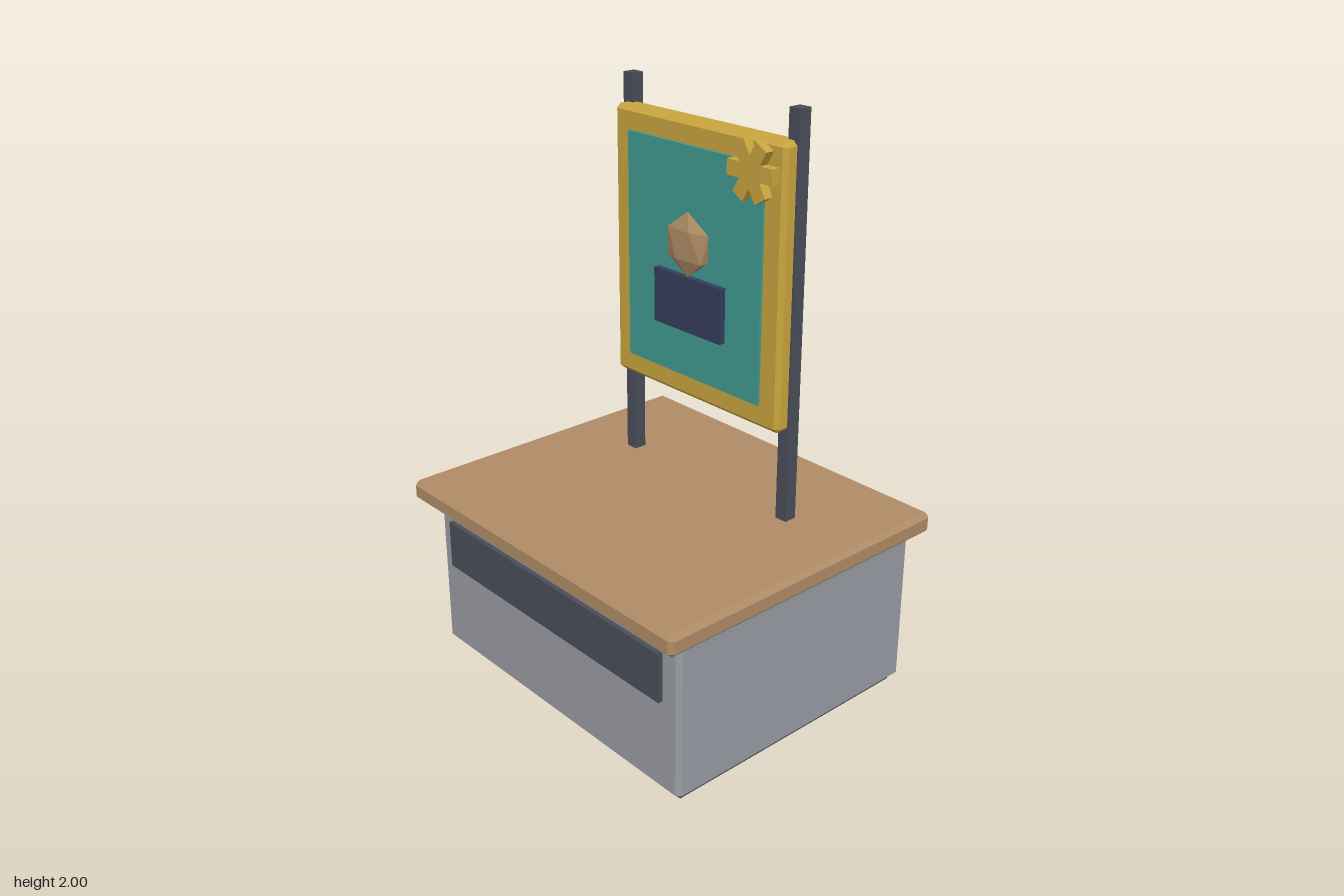
import * as THREE from 'three';
import { ConvexGeometry } from 'three/addons/geometries/ConvexGeometry.js';

function material(name, color) {
  const m = new THREE.MeshStandardMaterial({ color });
  m.name = name;
  return m;
}

// Box given by its min and max on each axis, with optional chamfered edges
function block([x0, x1], [y0, y1], [z0, z1], bevel = 0) {
  const w = x1 - x0, h = y1 - y0, d = z1 - z0;
  let geometry;
  if (bevel > 0) {
    const points = [];
    for (const sx of [-1, 1]) for (const sy of [-1, 1]) for (const sz of [-1, 1]) {
      for (let axis = 0; axis < 3; axis++) {
        const inset = [0, 1, 2].map((i) => (i === axis ? 0 : bevel));
        points.push(new THREE.Vector3(
          sx * (w / 2 - inset[0]), sy * (h / 2 - inset[1]), sz * (d / 2 - inset[2])));
      }
    }
    geometry = new ConvexGeometry(points);
  } else {
    geometry = new THREE.BoxGeometry(w, h, d);
  }
  return geometry.translate((x0 + x1) / 2, (y0 + y1) / 2, (z0 + z1) / 2);
}

// Six-armed badge with square arm ends
function badgeGeometry(radius, halfWidth, depth) {
  const points = [];
  for (let i = 0; i < 6; i++) {
    const a = (i * Math.PI) / 3, origin = new THREE.Vector2();
    points.push(
      new THREE.Vector2(radius, -halfWidth).rotateAround(origin, a),
      new THREE.Vector2(radius, halfWidth).rotateAround(origin, a),
      new THREE.Vector2(halfWidth * 2, 0).rotateAround(origin, a + Math.PI / 6));
  }
  return new THREE.ExtrudeGeometry(new THREE.Shape(points), { depth, bevelEnabled: false });
}

// Upright icosahedron: two poles and two staggered rings of five
function gemGeometry(radius) {
  const points = [new THREE.Vector3(0, radius, 0), new THREE.Vector3(0, -radius, 0)];
  const ring = radius * 2 / Math.sqrt(5), level = radius / Math.sqrt(5);
  for (let i = 0; i < 5; i++) {
    const a = (i * Math.PI * 2) / 5;
    const x = ring * Math.cos(a), z = ring * Math.sin(a);
    points.push(new THREE.Vector3(x, level, z), new THREE.Vector3(-x, -level, -z));
  }
  return new ConvexGeometry(points);
}

export function createModel() {
  const wood = material('wood', 0xb08c66);
  const grey = material('grey', 0x999ca4);
  const dark = material('dark metal', 0x4a4e58);
  const gold = material('gold', 0xcaa53e);
  const teal = material('teal', 0x419a91);
  const navy = material('navy', 0x353f5b);

  const model = new THREE.Group();
  model.name = 'displayCounter';
  const add = (name, geometry, mat) => {
    const mesh = new THREE.Mesh(geometry, mat);
    mesh.name = name;
    model.add(mesh);
    return mesh;
  };

  // Counter
  add('plinth', block([-0.595, 0.595], [0, 0.03], [-0.5, 0.47]), dark);
  add('cabinet', block([-0.62, 0.62], [0.017, 0.58], [-0.53, 0.5], 0.015), grey);
  add('frontPanel', block([-0.548, 0.548], [0.347, 0.518], [0.49, 0.517]), dark);
  add('countertop', block([-0.67, 0.67], [0.58, 0.655], [-0.575, 0.575], 0.016), wood);

  // Sign posts
  for (const side of [-1, 1]) {
    const post = add(side < 0 ? 'rightPost' : 'leftPost',
      block([-0.0225, 0.0225], [0.64, 2], [-0.21, -0.165]), dark);
    post.position.x = side * 0.375;
  }

  // Sign board and its picture
  add('signBoard', block([-0.39, 0.39], [0.975, 1.905], [-0.2, -0.118], 0.015), gold);
  add('signPanel', block([-0.31, 0.31], [1.055, 1.83], [-0.125, -0.108]), teal);
  add('pictureBase', block([-0.157, 0.157], [1.222, 1.408], [-0.112, -0.086]), navy);

  const gem = add('pictureGem', gemGeometry(0.108), wood);
  gem.position.set(0, 1.517, -0.09);
  gem.scale.z = 0.26;

  const badge = add('badge', badgeGeometry(0.095, 0.025, 0.032), gold);
  badge.position.set(0.28, 1.807, -0.11);

  return model;
}
